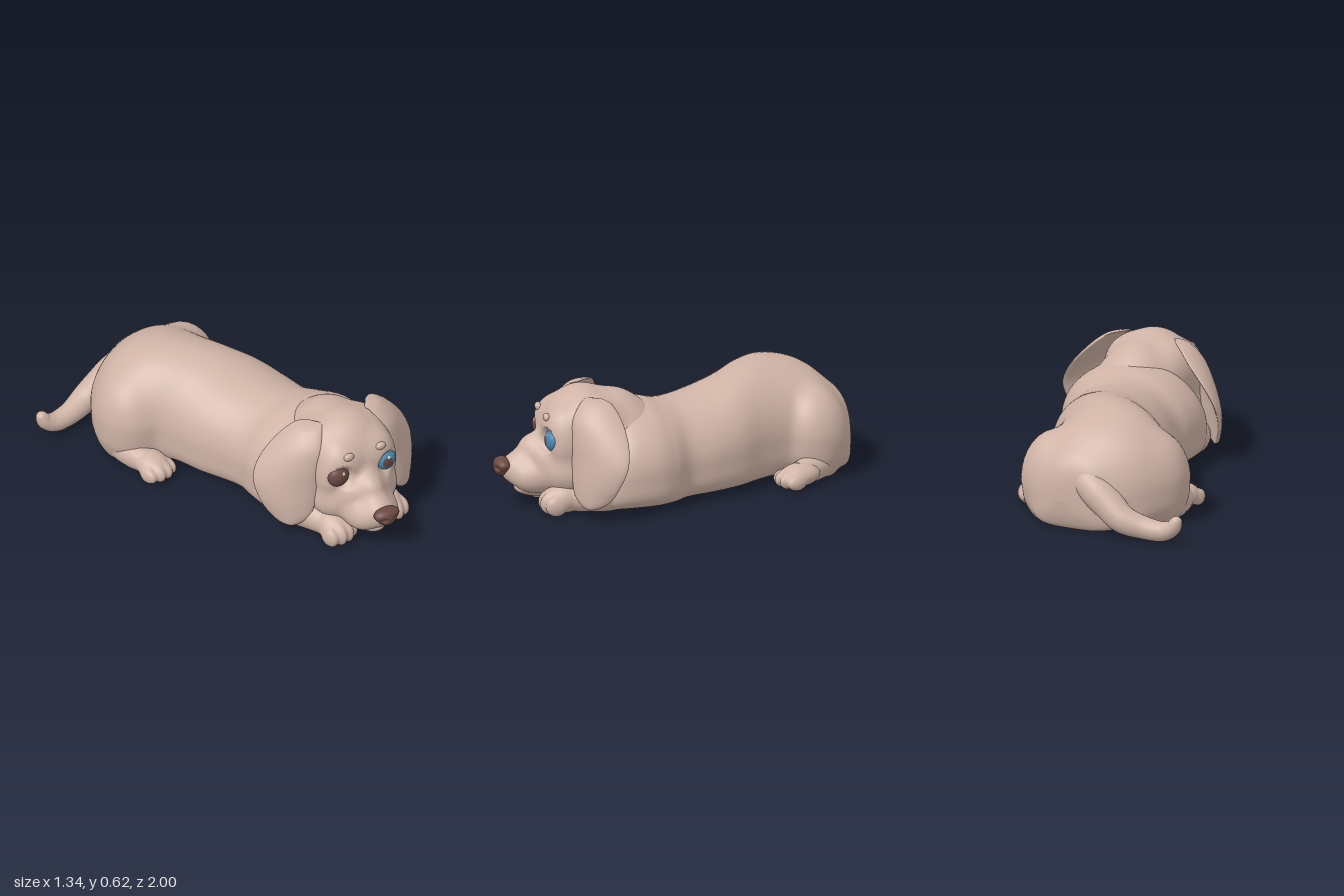
import * as THREE from 'three';
import { mergeVertices } from 'three/addons/utils/BufferGeometryUtils.js';

const paint = (name, color) => {
  const m = new THREE.MeshStandardMaterial({ color });
  m.name = name;
  return m;
};

// Catmull-Rom through rows of numbers, n steps between rows
function spline(rows, n) {
  const out = [];
  const at = (i) => rows[Math.min(Math.max(i, 0), rows.length - 1)];
  for (let i = 0; i < rows.length - 1; i++)
    for (let s = 0; s < n; s++) {
      const t = s / n, [a, b, c, d] = [at(i - 1), at(i), at(i + 1), at(i + 2)];
      out.push(b.map((q, j) => q + 0.5 * t * (c[j] - a[j] +
        t * (2 * a[j] - 5 * q + 4 * c[j] - d[j] + t * (3 * (q - c[j]) + d[j] - a[j])))));
    }
  out.push(rows[rows.length - 1]);
  return out;
}

// Closed skin over rings of points, drawn in to a point at both ends
function loft(rings) {
  const n = rings[0].length;
  const tip = (ring) => {
    const c = ring.reduce((s, p) => s.add(p), new THREE.Vector3()).divideScalar(n);
    return ring.map(() => c);
  };
  const all = [tip(rings[0]), ...rings, tip(rings[rings.length - 1])];
  const index = [];
  for (let i = 0; i < all.length - 1; i++)
    for (let j = 0; j < n; j++) {
      const a = i * n + j, b = i * n + (j + 1) % n;
      index.push(a, b, a + n, b, b + n, a + n);
    }
  const g = new THREE.BufferGeometry().setFromPoints(all.flat());
  g.setIndex(index);
  const merged = mergeVertices(g, 1e-5);
  merged.computeVertexNormals();
  return merged;
}

const ringOf = (n, f) => Array.from({ length: n }, (_, j) => f(j / n * Math.PI * 2));

// Round limb through rows of [x, y, z, radius]
function limb(rows, ref) {
  const pts = spline(rows, 8), P = (r) => new THREE.Vector3(r[0], r[1], r[2]);
  return loft(pts.map((row, i) => {
    const T = P(pts[Math.min(i + 1, pts.length - 1)]).sub(P(pts[Math.max(i - 1, 0)])).normalize();
    const u = ref.clone().addScaledVector(T, -ref.dot(T)).normalize();
    const v = T.clone().cross(u);
    return ringOf(24, (a) => {
      const p = P(row).addScaledVector(u, row[3] * Math.cos(a)).addScaledVector(v, row[3] * Math.sin(a));
      p.y = Math.max(p.y, 0);
      return p;
    });
  }));
}

// Distance to an ellipsoid [x, y, z, rx, ry, rz], and a smooth minimum for blending
const dist = (b, x, y, z) =>
  (Math.hypot((x - b[0]) / b[3], (y - b[1]) / b[4], (z - b[2]) / b[5]) - 1) * Math.min(b[3], b[4], b[5]);
const smin = (a, b, w) => Math.min(a, b) - Math.max(w - Math.abs(a - b), 0) ** 2 / (4 * w);

// Ball whose vertices are pushed out to the surface of blended ellipsoids
function wrap(blobs, center = blobs[0], detail = 14, k = 0.02, carve = []) {
  const field = (x, y, z) => {
    let d = 9;
    for (const b of blobs) d = smin(d, dist(b, x, y, z), k);
    for (const b of carve) d = -smin(-d, dist(b, x, y, z), 0.01);
    return d;
  };
  const ball = new THREE.IcosahedronGeometry(1, detail);
  ball.deleteAttribute('normal');
  ball.deleteAttribute('uv');
  const g = mergeVertices(ball, 1e-5), pos = g.attributes.position;
  const [cx, cy, cz] = center;
  for (let i = 0; i < pos.count; i++) {
    const d = new THREE.Vector3().fromBufferAttribute(pos, i).normalize();
    const f = (t) => field(cx + d.x * t, cy + d.y * t, cz + d.z * t);
    let hi = 0.01;
    while (f(hi) < 0 && hi < 1) hi += 0.01;
    let lo = hi - 0.01;
    for (let s = 0; s < 10; s++) {
      const mid = (lo + hi) / 2;
      if (f(mid) < 0) lo = mid; else hi = mid;
    }
    pos.setXYZ(i, cx + d.x * lo, Math.max(cy + d.y * lo, 0), cz + d.z * lo);
  }
  g.computeVertexNormals();
  return g;
}

function mirrored(geometry) {
  const g = geometry.clone().scale(-1, 1, 1), a = g.index.array;
  for (let i = 0; i < a.length; i += 3) [a[i], a[i + 1]] = [a[i + 1], a[i]];
  g.computeVertexNormals();
  return g;
}

const pair = (x, ...rest) => [[x, ...rest], [-x, ...rest]];

export function createModel() {
  const coat = paint('coat', 0xcfb3a6), brown = paint('brown', 0x6b4942);
  const blue = paint('blue iris', 0x4a88b0), white = paint('eye glint', 0xe4dcd8);
  const model = new THREE.Group();
  model.name = 'puppy';
  const add = (name, geometry, material = coat, parent = model) => {
    const m = new THREE.Mesh(geometry, material);
    m.name = name;
    parent.add(m);
  };
  const Y = new THREE.Vector3(0, 1, 0), Z = new THREE.Vector3(0, 0, 1);

  // Body: sections of z, centre x, half width, top, bottom; thighs and tail root swell out of it
  const sections = [
    [-0.965, 0, 0.02, 0.24, 0.16], [-0.95, -0.02, 0.12, 0.32, 0.07], [-0.92, -0.04, 0.21, 0.38, 0.01],
    [-0.87, -0.06, 0.27, 0.43, 0], [-0.78, -0.09, 0.33, 0.505, 0], [-0.68, -0.11, 0.355, 0.55, 0],
    [-0.55, -0.1, 0.36, 0.575, 0], [-0.42, -0.04, 0.345, 0.572, 0], [-0.28, 0.04, 0.335, 0.54, 0],
    [-0.13, 0.085, 0.335, 0.503, 0], [0.02, 0.13, 0.318, 0.485, 0], [0.12, 0.175, 0.34, 0.492, 0],
    [0.22, 0.19, 0.366, 0.515, 0], [0.35, 0.19, 0.368, 0.51, 0], [0.45, 0.19, 0.34, 0.45, 0],
    [0.53, 0.19, 0.27, 0.38, 0], [0.59, 0.19, 0.17, 0.28, 0.02], [0.61, 0.19, 0.04, 0.2, 0.1]];
  const swells = [[-0.335, 0.2, -0.56, 0.188, 0.27, 0.21], [0.125, 0.2, -0.73, 0.188, 0.26, 0.19],
    [-0.12, 0.27, -0.86, 0.11, 0.1, 0.09]];
  const bend = (v, e) => Math.sign(v) * Math.abs(v) ** e;
  add('body', loft(spline(sections, 8).map(([z, cx, w, top, bottom]) => {
    const low = Math.max(bottom, 0), cy = low + 0.4 * (top - low);
    return ringOf(64, (a) => {
      const c = Math.cos(a), s = Math.sin(a);
      const p = s < 0 ? new THREE.Vector3(w * bend(c, 0.55), (cy - low) * bend(s, 0.45), 0)
        : new THREE.Vector3(w * c, (top - cy) * s, 0);
      const out = p.clone().normalize();
      p.add(new THREE.Vector3(cx, cy, z));
      let t = 0;
      for (let i = 0; i < 30; i++) {
        const d = Math.min(...swells.map((b) => dist(b, p.x + out.x * t, p.y + out.y * t, z)));
        t -= smin(t, d, 0.03);
      }
      p.addScaledVector(out, t);
      p.y = Math.max(p.y, 0);
      return p;
    });
  })));

  // Tail curling up at its tip
  add('tail', limb([
    [-0.04, 0.28, -0.78, 0.06], [-0.1, 0.27, -0.855, 0.09], [-0.17, 0.225, -0.895, 0.088], [-0.25, 0.165, -0.913, 0.082],
    [-0.34, 0.1, -0.927, 0.073], [-0.45, 0.066, -0.91, 0.06], [-0.55, 0.058, -0.905, 0.052], [-0.61, 0.085, -0.908, 0.043],
    [-0.632, 0.12, -0.91, 0.034], [-0.637, 0.143, -0.91, 0.022], [-0.638, 0.153, -0.91, 0.004]], Z));

  // Paw with four toes, used for all feet
  const toes = [...pair(0.066, 0.042, 0.05, 0.031, 0.042, 0.056), ...pair(0.023, 0.046, 0.07, 0.03, 0.046, 0.056)];
  const pawShape = wrap([[0, 0.062, -0.01, 0.082, 0.062, 0.11], ...toes], [0, 0.05, 0.02], 20, 0.012);
  const foot = (name, x, z, turn, height, legRows) => {
    const g = pawShape.clone().scale(1, height, 1).rotateY(turn).translate(x, 0, z);
    add(name + 'Paw', g);
    add(name + 'Leg', limb(legRows, Y));
  };

  // Forelegs stretched out below the chin
  for (const [name, s] of [['leftFront', 1], ['rightFront', -1]])
    foot(name, 0.18 + s * 0.17, 0.69, -0.1 * s, 1.25, [[0.22, 0.13, 0.3, 0.06], [0.235, 0.12, 0.38, 0.095], [0.235, 0.1, 0.47, 0.095],
      [0.2, 0.085, 0.58, 0.082], [0.17, 0.075, 0.69, 0.068]].map(([d, ...r]) => [0.18 + s * d, ...r]));

  // Hind feet coming out from under the thighs
  foot('rightHind', -0.385, -0.315, 0.08, 1, [[-0.41, 0.06, -0.6, 0.03], [-0.415, 0.065, -0.53, 0.07],
    [-0.41, 0.065, -0.42, 0.072], [-0.39, 0.06, -0.32, 0.06]]);
  foot('leftHind', 0.325, -0.59, 0.25, 0.95, [[0.16, 0.06, -0.82, 0.03], [0.2, 0.065, -0.76, 0.07],
    [0.265, 0.065, -0.68, 0.07], [0.315, 0.06, -0.59, 0.06]]);

  // Head, turned slightly to its right
  const head = new THREE.Group();
  head.name = 'head';
  head.position.set(0.2, 0, 0.5);
  head.rotation.y = -0.1;
  model.add(head);
  add('skull', wrap([
    [0, 0.37, 0.04, 0.23, 0.255, 0.225], // cranium
    [0, 0.28, -0.16, 0.25, 0.26, 0.25], // neck
    [0, 0.41, -0.1, 0.19, 0.185, 0.2], // nape
    ...pair(0.12, 0.435, 0.01, 0.12, 0.145, 0.16), // temples
    ...pair(0.095, 0.42, 0.15, 0.115, 0.125, 0.115), // brow
    ...pair(0.165, 0.34, 0.15, 0.065, 0.11, 0.085), // cheekbones
    ...pair(0.11, 0.205, 0.12, 0.13, 0.13, 0.155), // cheeks
    [0, 0.28, 0.25, 0.085, 0.11, 0.13], // bridge
    ...pair(0.065, 0.25, 0.2, 0.095, 0.11, 0.125), // sides of the bridge
    [0, 0.2, 0.35, 0.092, 0.09, 0.115], // muzzle tip
    ...pair(0.064, 0.165, 0.28, 0.082, 0.085, 0.135), // jowls
  ], [0, 0.28, 0.1], 40, 0.035, pair(0.14, 0.38, 0.274, 0.067, 0.067, 0.056)), coat, head);
  add('chin', wrap([[0, 0.098, 0.27, 0.08, 0.05, 0.125]]), coat, head);
  for (const b of pair(0.096, 0.492, 0.246, 0.029, 0.021, 0.017)) add('browSpot', wrap([b], undefined, 8), coat, head);

  // Nose with two nostrils
  add('nose', wrap([[0, 0.228, 0.456, 0.072, 0.036, 0.045], [0, 0.2, 0.456, 0.045, 0.034, 0.042]],
    [0, 0.215, 0.456], 18, 0.02, pair(0.036, 0.213, 0.501, 0.018, 0.012, 0.018)), brown, head);

  // Eyes: one brown, one blue with a brown pupil
  const cap = (angle) => new THREE.SphereGeometry(1, 28, 10, 0, Math.PI * 2, 0, angle).rotateX(Math.PI / 2);
  for (const [side, x, iris] of [['left', 0.138, blue], ['right', -0.145, brown]]) {
    const eye = new THREE.Group();
    eye.name = side + 'Eye';
    eye.position.set(x, 0.38, 0.218);
    eye.scale.set(0.06, 0.06, 0.046);
    head.add(eye);
    add('eyeball', new THREE.SphereGeometry(1, 32, 24), iris, eye);
    if (x > 0) add('pupil', cap(0.5).rotateY(-0.1).scale(1.02, 1.02, 1.02), brown, eye);
    add('glint', cap(0.13).rotateX(-0.5).rotateY(x > 0 ? 0 : 0.2).scale(1.04, 1.04, 1.04), white, eye);
  }

  // Ears: rows of y, front edge x z, back edge x z, half thickness
  const earRows = [
    [0.595, 0.13, 0.04, 0.18, -0.03, 0.012], [0.575, 0.155, 0.08, 0.235, -0.07, 0.03], [0.5, 0.192, 0.13, 0.32, -0.105, 0.034],
    [0.4, 0.215, 0.14, 0.41, -0.115, 0.028], [0.3, 0.218, 0.14, 0.46, -0.1, 0.024], [0.2, 0.23, 0.14, 0.452, -0.06, 0.024],
    [0.12, 0.26, 0.135, 0.42, -0.02, 0.02], [0.075, 0.3, 0.11, 0.385, 0.03, 0.015], [0.057, 0.335, 0.085, 0.35, 0.065, 0.005]];
  const ear = loft(spline(earRows, 6).map(([y, fx, fz, bx, bz, t]) => {
    const ex = (bx - fx) / 2, ez = (bz - fz) / 2, len = Math.hypot(ex, ez);
    return ringOf(32, (a) => {
      const c = Math.cos(a), s = Math.sin(a);
      const off = t * s + 0.2 * len * s * s; // bowed outward
      return new THREE.Vector3((fx + bx) / 2 + ex * c - ez / len * off, y, (fz + bz) / 2 + ez * c + ex / len * off);
    });
  }));
  add('leftEar', ear, coat, head);
  add('rightEar', mirrored(ear), coat, head);

  return model;
}
